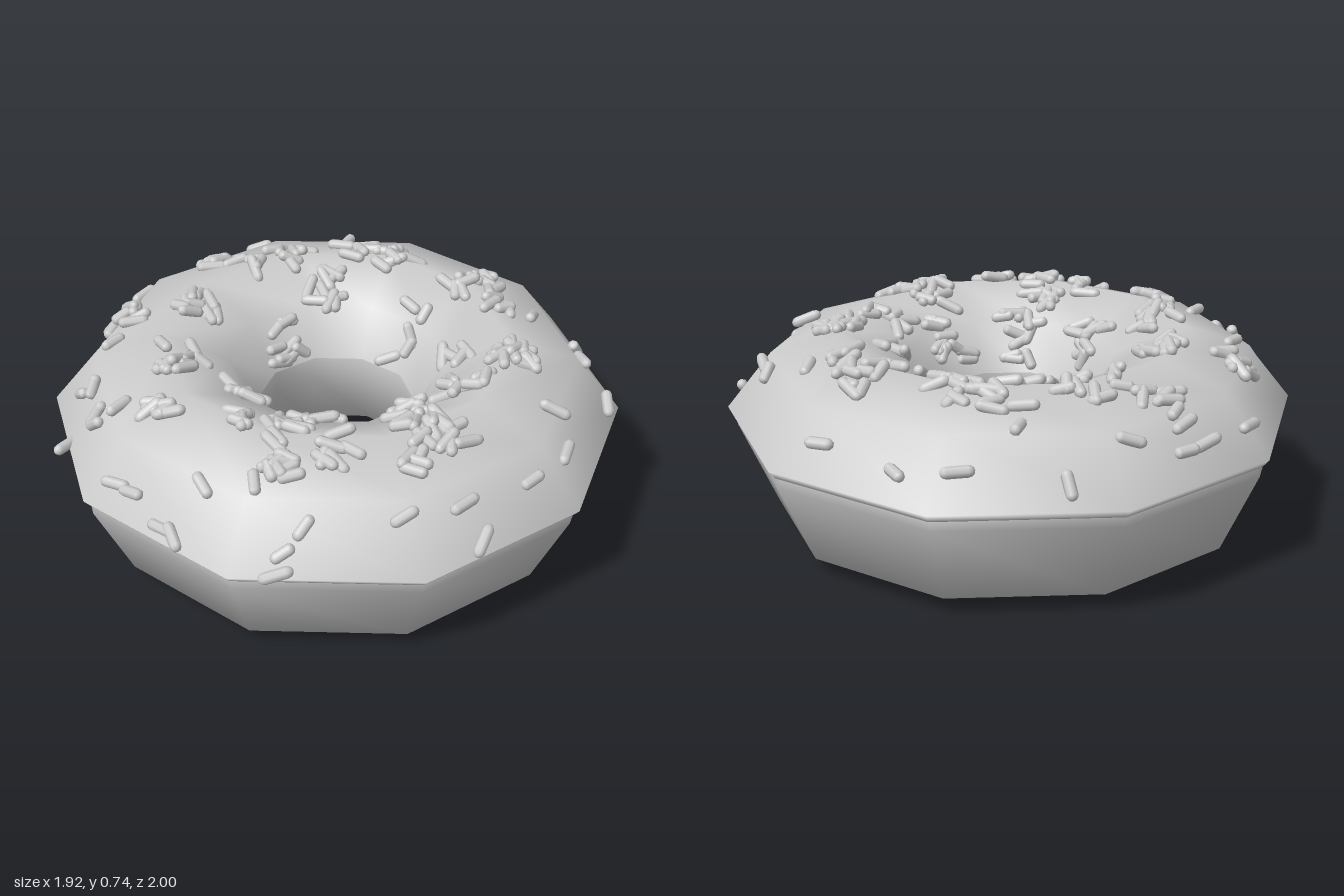
import * as THREE from 'three';

const SIDES = 10;
const TURN = -0.03; // slight twist of the ten-sided ring
const material = new THREE.MeshStandardMaterial({ color: 0xcccccc, side: THREE.DoubleSide });

// Cross-sections as [radius, height]
const DOUGH = [[0.28, 0.44], [0.27, 0.36], [0.34, 0.14], [0.54, 0.005], [0.84, 0.07], [0.97, 0.365], [0.95, 0.42]];
const ICING = [[0.95, 0.4], [0.975, 0.4], [1, 0.43], [0.84, 0.63], [0.6, 0.705], [0.38, 0.61], [0.28, 0.43], [0.275, 0.38]];
const SLOPE = ICING.slice(2, 7).reverse(); // upper face of the icing, inside to outside

// Lone sprinkles: x, z, heading in degrees
const LONE = [
  [-0.4, -0.81, 15], [-0.1, -0.88, 150], [-0.56, -0.7, 120], [0.62, -0.71, 10], [0.24, -0.69, 60],
  [0.42, -0.73, 100], [0.49, -0.7, 40], [-0.79, -0.45, 30], [-0.82, -0.23, 140], [0.7, -0.38, 140],
  [0.81, -0.34, 45], [0.86, -0.15, 75], [0.92, 0.1, 35], [0.84, 0.12, 80], [0.8, 0.32, 80],
  [0.63, 0.66, 80], [0.63, 0.58, 60], [0.65, 0.7, 100], [0.45, 0.64, 30], [0.33, 0.75, 30],
  [0.33, 0.87, 40], [0.12, 0.89, 150], [0.05, 0.91, 150], [0.28, 0.88, 160], [-0.16, 0.77, 75],
  [-0.22, 0.83, 140], [-0.25, 0.81, 110], [-0.33, 0.9, 70], [-0.43, 0.77, 150], [-0.36, 0.75, 100],
  [-0.5, 0.6, 80], [-0.88, 0.26, 80], [-0.88, 0.05, 80], [-0.88, -0.04, 100], [-0.6, -0.49, 60],
];

// Sprinkle clusters: x, z, count, spread
const CLUSTERS = [
  [-0.02, -0.64, 12, 0.1], [0.15, -0.61, 4, 0.06], [-0.33, -0.51, 9, 0.08], [-0.48, -0.42, 7, 0.08],
  [-0.58, -0.22, 7, 0.09], [-0.65, 0, 8, 0.1], [-0.78, 0, 3, 0.06], [-0.38, -0.22, 9, 0.08],
  [-0.31, 0, 9, 0.06], [-0.46, 0.27, 10, 0.07], [-0.63, 0.47, 8, 0.07], [-0.24, 0.5, 11, 0.09],
  [-0.03, 0.37, 9, 0.07], [-0.03, 0.68, 7, 0.05], [0.25, 0.25, 11, 0.07], [0.29, 0.43, 9, 0.07],
  [0.43, 0.52, 10, 0.08], [0.34, 0, 11, 0.07], [0.53, 0.1, 8, 0.1], [0.66, 0.03, 9, 0.09],
  [0.69, 0.2, 4, 0.05], [0.45, -0.42, 14, 0.07], [0.45, -0.2, 8, 0.09], [0.24, -0.33, 4, 0.07],
  [-0.05, -0.33, 5, 0.1], [0.53, 0.35, 6, 0.08], [0.18, 0.54, 4, 0.05],
];

let seed = 7;
function random() {
  seed = (seed * 16807) % 2147483647;
  return seed / 2147483647;
}

function ring(name, profile) {
  const points = profile.map(([r, y]) => new THREE.Vector2(r, y));
  const mesh = new THREE.Mesh(new THREE.LatheGeometry(points, SIDES, TURN, Math.PI * 2), material);
  mesh.name = name;
  return mesh;
}

// Height of the faceted icing above a point on the ground
function icingHeight(x, z) {
  const step = (Math.PI * 2) / SIDES;
  const turns = (Math.atan2(x, z) - TURN) / step;
  const offMiddle = (turns - Math.floor(turns) - 0.5) * step;
  const r = Math.hypot(x, z) * Math.cos(offMiddle) / Math.cos(step / 2);
  let i = 0;
  while (i < SLOPE.length - 2 && r > SLOPE[i + 1][0]) i++;
  const [r0, y0] = SLOPE[i], [r1, y1] = SLOPE[i + 1];
  return y0 + (y1 - y0) * THREE.MathUtils.clamp((r - r0) / (r1 - r0), 0, 1);
}

export function createModel() {
  const model = new THREE.Group();
  model.name = 'doughnut';
  model.add(ring('dough', DOUGH), ring('icing', ICING));

  const sprinkles = new THREE.Group();
  sprinkles.name = 'sprinkles';
  model.add(sprinkles);
  const capsule = new THREE.CapsuleGeometry(0.02, 0.06, 3, 8);
  const up = new THREE.Vector3(0, 1, 0);

  // Lay one sprinkle along the icing, half sunk and a little tilted
  function addSprinkle(x, z, heading) {
    const e = 0.01;
    const normal = new THREE.Vector3(
      icingHeight(x - e, z) - icingHeight(x + e, z), 2 * e,
      icingHeight(x, z - e) - icingHeight(x, z + e)).normalize();
    const along = new THREE.Vector3(Math.cos(heading), 0, Math.sin(heading))
      .projectOnPlane(normal).normalize()
      .addScaledVector(normal, (random() - 0.5) * 0.5).normalize();
    const sprinkle = new THREE.Mesh(capsule, material);
    sprinkle.name = 'sprinkle';
    sprinkle.position.set(x, icingHeight(x, z), z).addScaledVector(normal, 0.004 + random() * 0.012);
    sprinkle.quaternion.setFromUnitVectors(up, along);
    sprinkle.scale.y = 0.8 + random() * 0.4;
    sprinkles.add(sprinkle);
  }

  for (const [x, z, degrees] of LONE) addSprinkle(x, z, THREE.MathUtils.degToRad(degrees));

  for (const [cx, cz, count, spread] of CLUSTERS) {
    for (let i = 0; i < count; i++) {
      const angle = random() * Math.PI * 2;
      const distance = spread * Math.sqrt(random());
      let x = cx + Math.cos(angle) * distance;
      let z = cz + Math.sin(angle) * distance;
      // Keep clear of the hole
      const push = Math.max(1, 0.29 / Math.hypot(x, z));
      x *= push;
      z *= push;
      addSprinkle(x, z, random() * Math.PI);
    }
  }
  return model;
}
